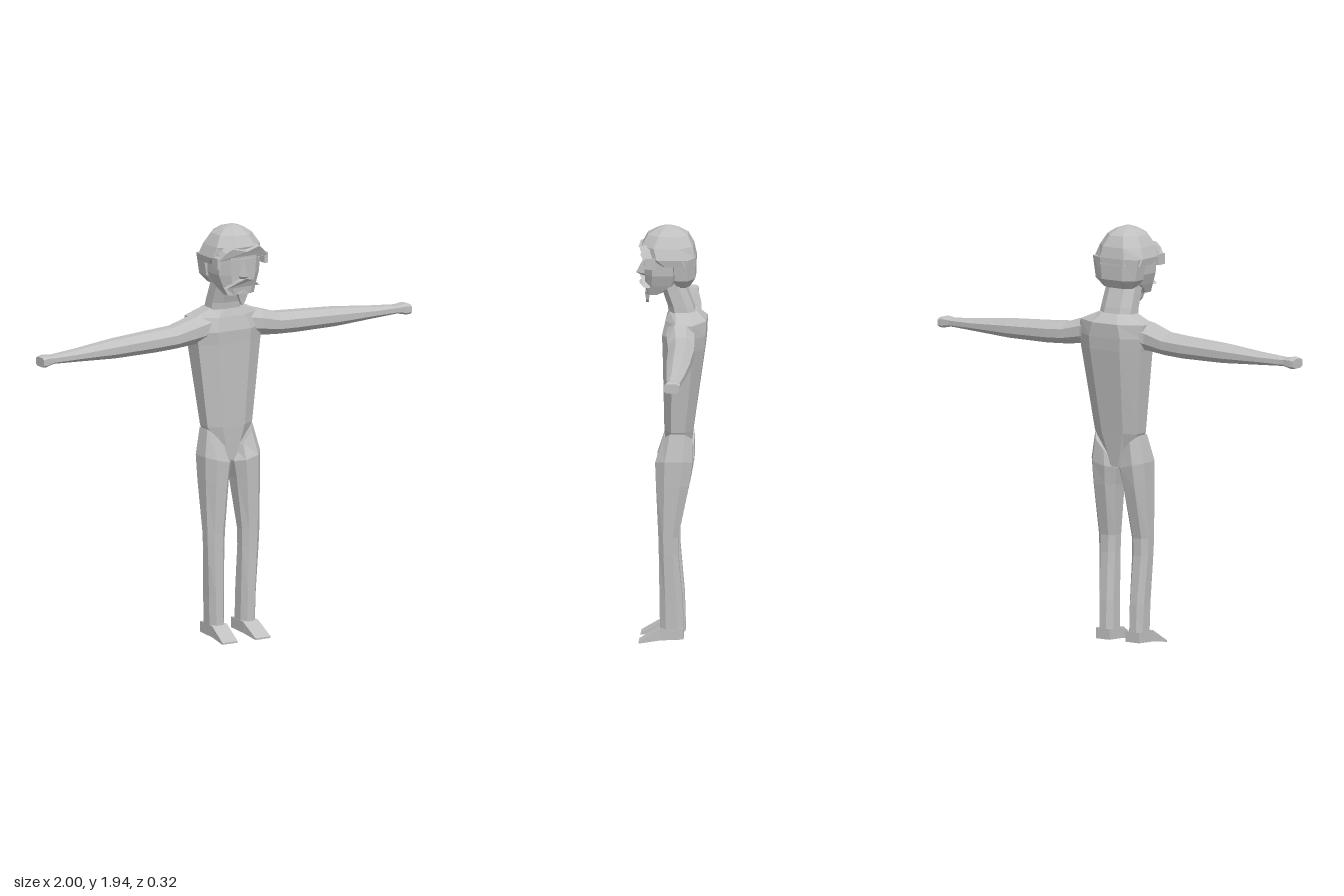
import * as THREE from 'three';

// Chamfered rectangle with 8 corners: a from a0 to a1, b from b0 to b1
function octagon(a0, a1, b0, b1, k = 0.25) {
  const da = (a1 - a0) * k, db = (b1 - b0) * k;
  return [[a0 + da, b0], [a1 - da, b0], [a1, b0 + db], [a1, b1 - db],
    [a1 - da, b1], [a0 + da, b1], [a0, b1 - db], [a0, b0 + db]];
}

// Horizontal section; tilt raises the outer side
const level = (y, x0, x1, z0, z1, k, tilt = 0) =>
  octagon(x0, x1, z0, z1, k).map(([x, z]) => [x, y + tilt * (x - (x0 + x1) / 2), z]);

// Upright section across an arm
const slice = (x, y0, y1, z0, z1, k) => octagon(y0, y1, z0, z1, k).map(([y, z]) => [x, y, z]);

// Closed faceted skin over a list of sections, always facing outwards
function loft(rings) {
  const tris = [], n = rings[0].length;
  for (let r = 0; r < rings.length - 1; r++) {
    for (let i = 0; i < n; i++) {
      const j = (i + 1) % n, a = rings[r], b = rings[r + 1];
      tris.push([a[i], a[j], b[j]], [a[i], b[j], b[i]]);
    }
  }
  const first = rings[0], last = rings[rings.length - 1];
  for (let i = 1; i < n - 1; i++) {
    tris.push([first[0], first[i + 1], first[i]], [last[0], last[i], last[i + 1]]);
  }
  const o = new THREE.Vector3(...first[0]);
  let volume = 0;
  for (const t of tris) {
    const [a, b, c] = t.map((p) => new THREE.Vector3(...p).sub(o));
    volume += a.dot(b.cross(c));
  }
  if (volume < 0) tris.forEach((t) => t.reverse());
  const geometry = new THREE.BufferGeometry();
  geometry.setAttribute('position', new THREE.Float32BufferAttribute(tris.flat(2), 3));
  geometry.computeVertexNormals();
  return geometry;
}

export function createModel() {
  const model = new THREE.Group();
  model.name = 'figure';
  const grey = new THREE.MeshStandardMaterial({ color: 0xc0c0c0, flatShading: true });
  grey.name = 'plain grey';
  const add = (name, geometry, parent = model) => {
    const mesh = new THREE.Mesh(geometry, grey);
    mesh.name = name;
    parent.add(mesh);
    return mesh;
  };

  // Torso tapering to the crotch
  add('torso', loft([
    level(0.83, -0.03, 0.04, -0.08, 0.02),
    level(0.99, -0.115, 0.125, -0.1, 0.03),
    level(1.38, -0.16, 0.175, -0.155, 0.037),
    level(1.44, -0.17, 0.18, -0.16, 0.04),
    level(1.505, -0.175, 0.18, -0.162, 0.025, 0.3),
    level(1.545, -0.08, 0.09, -0.12, 0.01),
  ]));

  // Neck leaning forward
  add('neck', loft([
    level(1.52, -0.085, 0.09, -0.115, 0.01),
    level(1.57, -0.083, 0.088, -0.1, 0.015),
    level(1.7, -0.078, 0.082, -0.05, 0.06),
  ]));

  for (const s of [-1, 1]) {
    const side = s > 0 ? 'left' : 'right';
    const shift = s > 0 ? -0.018 : 0;
    const X = (x) => x * s + 0.003;

    // Arm and small flared hand
    const arm = (x, y0, y1, z0, z1, k) => slice(x * s, y0, y1, z0 + shift * x, z1 + shift * x, k);
    add(side + 'Arm', loft([
      arm(0.1, 1.39, 1.525, -0.13, 0.015, 0.3),
      arm(0.18, 1.385, 1.507, -0.11, 0.02, 0.3),
      arm(0.28, 1.375, 1.475, -0.115, 0.01, 0.3),
      arm(0.38, 1.37, 1.468, -0.115, 0.003, 0.3),
      arm(0.6, 1.37, 1.455, -0.105, 0.003, 0.3),
      arm(0.8, 1.38, 1.435, -0.086, -0.005, 0.3),
      arm(0.945, 1.388, 1.423, -0.07, -0.012, 0.2),
    ]));
    add(side + 'Hand', loft([
      arm(0.93, 1.388, 1.423, -0.07, -0.012, 0.2),
      arm(0.975, 1.378, 1.43, -0.073, -0.004, 0.2),
      arm(0.998, 1.38, 1.424, -0.072, 0.0, 0.2),
    ]));

    // Leg with its top slanted up to the hip
    const leg = (y, inner, outer, z0, z1, tilt = 0) =>
      level(y, Math.min(X(inner), X(outer)), Math.max(X(inner), X(outer)), z0, z1, 0.26, tilt * s);
    add(side + 'Leg', loft([
      leg(0.04, 0.045, 0.122, -0.06, 0.048),
      leg(0.2, 0.046, 0.126, -0.055, 0.05),
      leg(0.42, 0.048, 0.137, -0.035, 0.053),
      leg(0.5, 0.046, 0.14, -0.035, 0.055),
      leg(0.74, 0.022, 0.146, -0.085, 0.066),
      leg(0.84, 0.008, 0.148, -0.102, 0.07, 0.25),
      leg(0.93, 0.025, 0.122, -0.1, 0.036, 1.1),
    ]));

    // Wedge foot
    const footEnd = (z, y0, y1, a, b) => [[X(a), y0, z], [X(b), y0, z], [X(b), y1, z], [X(a), y1, z]];
    add(side + 'Foot', loft([
      footEnd(-0.06, 0.02, 0.07, 0.045, 0.122),
      footEnd(0.045, 0.015, 0.068, 0.043, 0.124),
      footEnd(0.145, 0, 0.008, 0.048, 0.13),
    ]));
  }

  // Head
  const head = new THREE.Group();
  head.name = 'head';
  model.add(head);
  add('face', loft([
    level(1.625, -0.07, 0.07, 0.05, 0.112, 0.2),
    level(1.67, -0.09, 0.09, -0.03, 0.118, 0.2),
    level(1.72, -0.108, 0.108, -0.06, 0.12, 0.2),
    level(1.82, -0.115, 0.115, -0.06, 0.125, 0.2),
  ]), head);
  add('backHair', loft([
    level(1.66, -0.075, 0.075, -0.085, -0.01),
    level(1.7, -0.112, 0.112, -0.11, 0.012),
    level(1.8, -0.128, 0.128, -0.112, 0.015),
  ]), head);
  add('cap', loft([
    level(1.768, -0.128, 0.128, -0.112, 0.07),
    level(1.8, -0.134, 0.134, -0.11, 0.12),
    level(1.85, -0.115, 0.115, -0.1, 0.135),
    level(1.9, -0.085, 0.085, -0.075, 0.108, 0.28),
    level(1.925, -0.05, 0.05, -0.035, 0.065, 0.28),
    level(1.937, -0.015, 0.015, 0.005, 0.035, 0.28),
  ]), head);

  // Projecting brow, dipping in the middle
  const browBand = (z, grow) => [
    [-0.13, 1.795, z - 0.025], [-0.1, 1.83 + grow, z - 0.01], [-0.07, 1.85 + grow, z], [0, 1.832 + grow, z + 0.008],
    [0.07, 1.85 + grow, z], [0.1, 1.83 + grow, z - 0.01], [0.13, 1.795, z - 0.025], [0, 1.798, z]];
  add('brow', loft([browBand(0.105, 0.012), browBand(0.145, 0)]), head);
  for (const s of [-1, 1]) {
    const tab = add(s > 0 ? 'leftTemple' : 'rightTemple', new THREE.BoxGeometry(0.018, 0.05, 0.05), head);
    tab.position.set(0.127 * s, 1.783, 0.092);
  }

  // Nose, moustache and pointed beard
  add('nose', loft([
    [[-0.006, 1.785, 0.115], [0.006, 1.785, 0.115], [0, 1.785, 0.127]],
    [[-0.03, 1.712, 0.11], [0.03, 1.712, 0.11], [0, 1.715, 0.163]],
    [[-0.022, 1.7, 0.11], [0.022, 1.7, 0.11], [0, 1.7, 0.135]],
  ]), head);
  const whiskers = (z, bulge) => [[-0.088, 1.662, z], [-0.045, 1.692, z + bulge / 2], [0, 1.704, z + bulge],
    [0.045, 1.692, z + bulge / 2], [0.088, 1.662, z], [0.03, 1.674, z + bulge], [-0.03, 1.674, z + bulge]];
  add('moustache', loft([whiskers(0.095, 0.01), whiskers(0.122, 0.025)]), head);
  const tuft = (z, lean) => [[-0.026, 1.63, z], [-0.012, 1.642, z], [0.012, 1.642, z], [0.026, 1.63, z],
    [0.012, 1.59, z + lean], [0, 1.575, z + lean], [-0.012, 1.59, z + lean]];
  add('beard', loft([tuft(0.1, 0.005), tuft(0.122, -0.005)]), head);

  return model;
}
